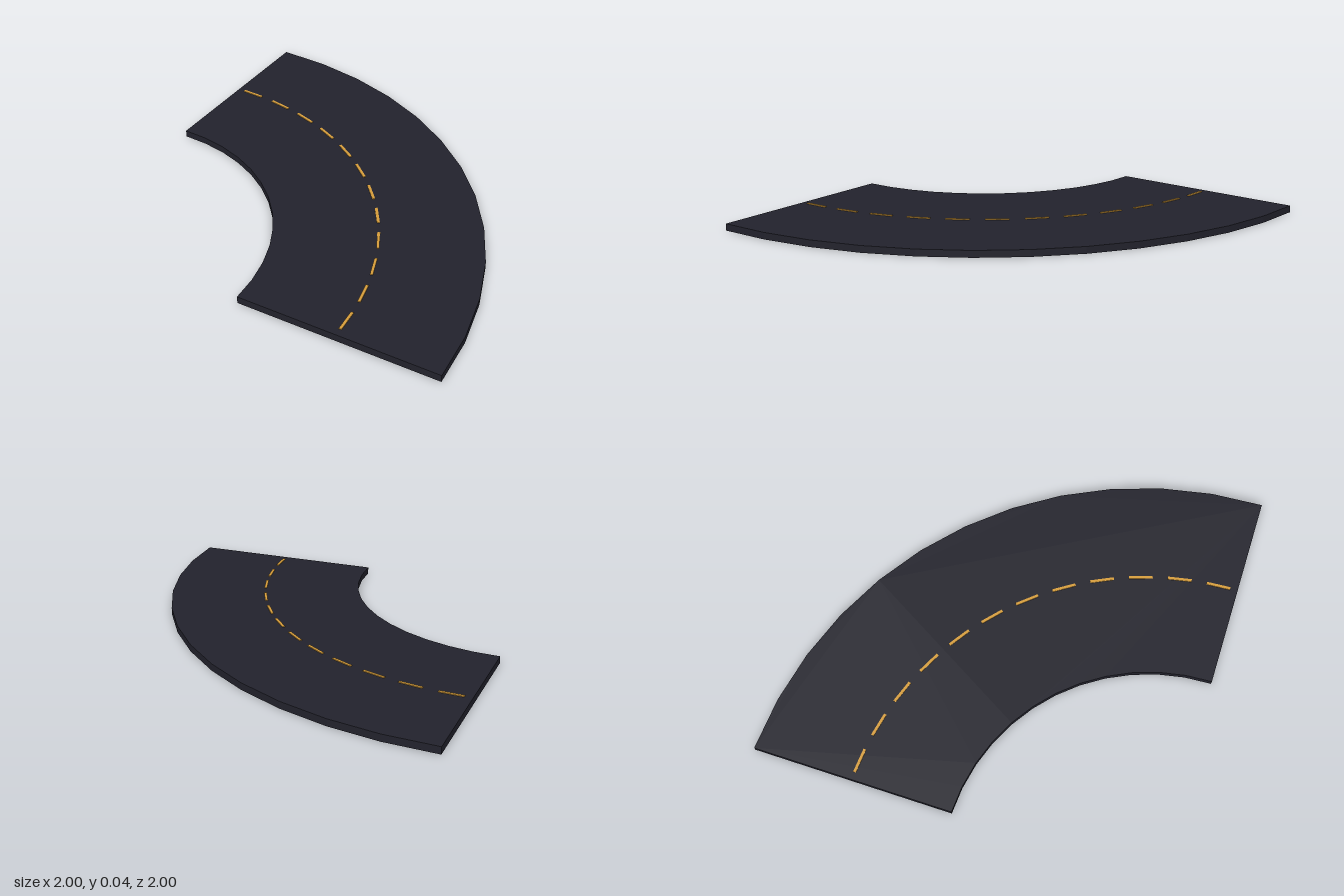
import * as THREE from 'three';

const SEGMENTS = 12;
const STEP = Math.PI / 2 / SEGMENTS;
const INNER = 1, OUTER = 2, MIDDLE = 1.5;
const THICKNESS = 0.035;

export function createModel() {
  const asphalt = new THREE.MeshStandardMaterial({ color: 0x22222c });
  asphalt.name = 'asphalt';
  const paint = new THREE.MeshStandardMaterial({ color: 0xd69d3a });
  paint.name = 'yellow paint';

  // The bend turns about the corner x = -1, z = 1
  const model = new THREE.Group();
  model.name = 'curvedRoad';
  const bend = new THREE.Group();
  bend.name = 'bend';
  bend.position.set(-1, 0, 1);
  model.add(bend);

  // Road slab: faceted quarter ring
  const arc = (radius) => Array.from({ length: SEGMENTS + 1 }, (_, i) =>
    new THREE.Vector2(radius * Math.cos(i * STEP), radius * Math.sin(i * STEP)));
  const outline = new THREE.Shape([...arc(OUTER), ...arc(INNER).reverse()]);
  const slabGeometry = new THREE.ExtrudeGeometry(outline, { depth: THICKNESS, bevelEnabled: false });
  slabGeometry.rotateX(-Math.PI / 2);
  const slab = new THREE.Mesh(slabGeometry, asphalt);
  slab.name = 'roadSlab';
  bend.add(slab);

  // Centre line: one straight dash per segment
  const dashGeometry = new THREE.BoxGeometry(0.014, 0.006, 0.12);
  for (let i = 0; i < SEGMENTS; i++) {
    const angle = (i + 0.5) * STEP;
    const dash = new THREE.Mesh(dashGeometry, paint);
    dash.name = `centreDash${i + 1}`;
    dash.position.set(MIDDLE * Math.cos(angle), THICKNESS + 0.001, -MIDDLE * Math.sin(angle));
    dash.rotation.y = angle;
    bend.add(dash);
  }
  return model;
}
